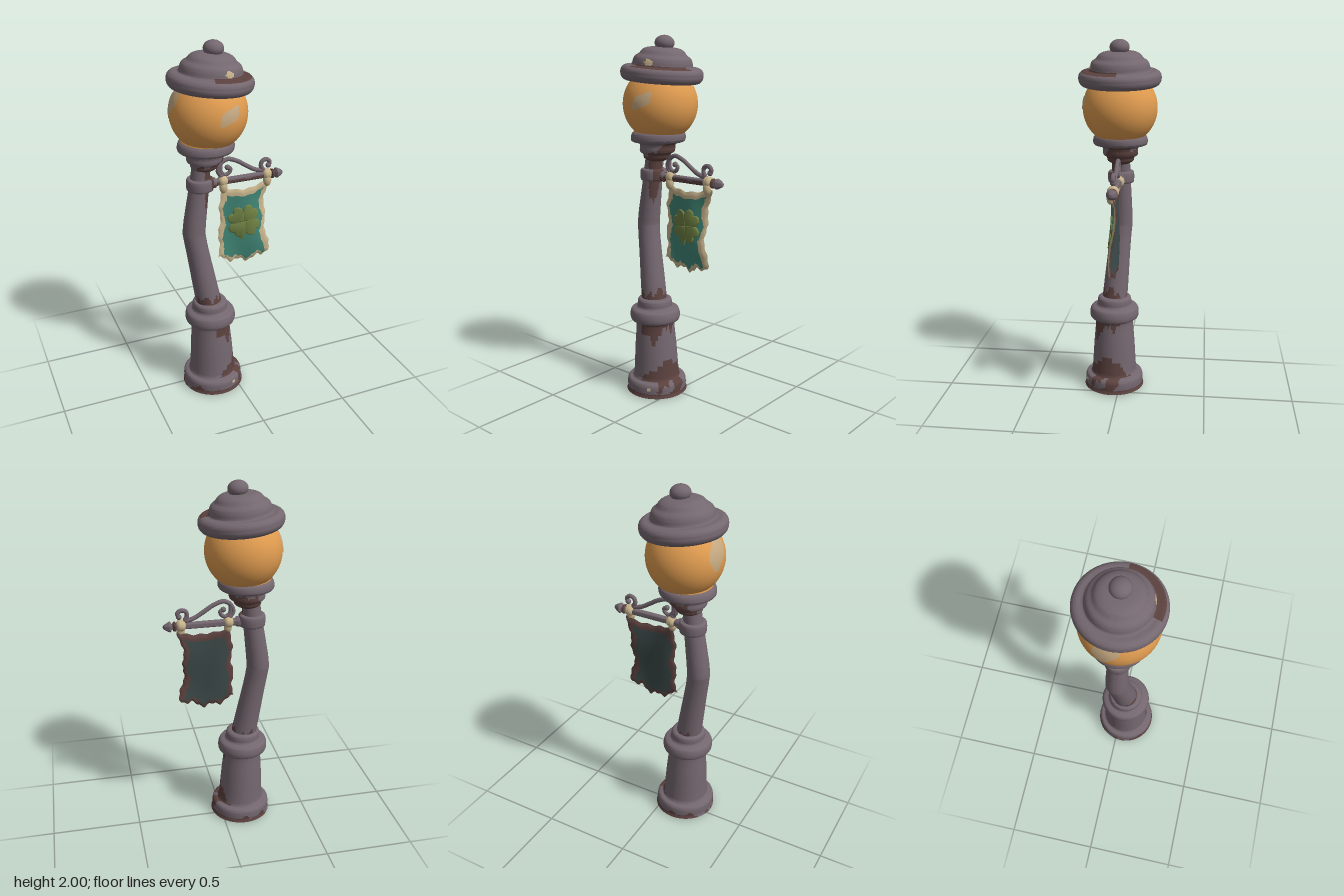
import * as THREE from 'three';
import { toCreasedNormals } from 'three/addons/utils/BufferGeometryUtils.js';

const mat = (name, color, side = THREE.FrontSide) => {
  const m = new THREE.MeshStandardMaterial({ color, side });
  m.name = name;
  return m;
};
const { sin, cos, PI, abs, max, min, hypot } = Math;

export function createModel() {
  const metal = mat('mauve iron', 0x74676f);
  const rust = mat('rust', 0x5c423f);
  const cream = mat('cream', 0xc8b48c);
  const amber = mat('amber glass', 0xe09c50);
  const glint = mat('glass glint', 0xc6a981);
  const teal = mat('teal cloth', 0x3f8474);
  const dark = mat('dark cloth', 0x3c4a49);
  const green = mat('clover green', 0x6d7f42);
  const iron = [metal, rust, cream];

  const model = new THREE.Group();
  const add = (name, geo, material, parent = model) => {
    const m = new THREE.Mesh(geo, material);
    m.name = name;
    parent.add(m);
    return m;
  };
  // Puts each list of corners into its own material group
  const setGroups = (geo, lists) => {
    geo.setIndex(lists.flat());
    geo.clearGroups();
    let start = 0;
    lists.forEach((l, i) => { if (l.length) geo.addGroup(start, l.length, i); start += l.length; });
    return geo;
  };
  // Angle between a and b, unsigned
  const turn = (a, b) => abs(Math.atan2(sin(a - b), cos(a - b)));
  const wob = (a, y) => 0.016 * sin(3 * a + 1) + 0.012 * sin(8 * a + 30 * y) + 0.006 * sin(19 * a);

  // Turned part: [radius, height] profile around a drifting centre line;
  // paint(angle, height) picks the material of each small face
  const loft = (profile, centre = () => [0, 0], paint = () => 0, sides = 72, steps = 5) => {
    const rows = new THREE.SplineCurve(profile.map(p => new THREE.Vector2(...p)))
      .getPoints(steps * (profile.length - 1));
    const pos = [], lists = [[], [], []];
    rows.forEach(({ x: r, y }, i) => {
      const [cx, cz] = centre(y);
      for (let j = 0; j < sides; j++) {
        const a = j / sides * 2 * PI;
        pos.push(cx + max(r, 1e-4) * cos(a), y, cz + max(r, 1e-4) * sin(a));
        if (i === rows.length - 1) continue;
        const k = (j + 1) % sides, A = i * sides + j, B = i * sides + k, C = A + sides, D = B + sides;
        lists[paint(a + PI / sides, (y + rows[i + 1].y) / 2)].push(A, C, B, B, C, D);
      }
    });
    const geo = new THREE.BufferGeometry();
    geo.setAttribute('position', new THREE.Float32BufferAttribute(pos, 3));
    return toCreasedNormals(setGroups(geo, lists), 0.9);
  };

  // Foot, plinth and ring
  add('plinth', loft(
    [[0, 0], [0.158, 0.002], [0.167, 0.02], [0.167, 0.065], [0.157, 0.083], [0.134, 0.09], [0.127, 0.13],
      [0.118, 0.27], [0.108, 0.4], [0.117, 0.417], [0.137, 0.43], [0.141, 0.46], [0.131, 0.49],
      [0.1, 0.502], [0.097, 0.53], [0.088, 0.549], [0.05, 0.553]],
    y => [-0.118 - 0.025 * y, 0.034],
    (a, y) => {
      const d = turn(a, 0.35), w = wob(a, y);
      if (hypot(turn(a, 1.12) * 0.16, y - 0.055) < 0.018 + w * 0.3) return 2;
      if (y < 0.022 + w) return 1;
      if (y > 0.025 && y < 0.09) return d < 0.9 && w > 0.008 ? 1 : 0;
      if (y < 0.19 - 0.06 * d * d + w) return 1;
      return y < 0.425 && y > 0.34 + 0.07 * turn(a, 0.6) ** 2 + 2 * w ? 1 : 0;
    }, 96), iron);

  // Crooked pole
  const bend = [[0.53, -0.135, 0.033], [0.9, -0.196, 0.006], [0.97, -0.205, 0], [1.04, -0.198, 0],
    [1.2, -0.176, 0], [1.4, -0.15, 0]];
  const poleCentre = y => {
    const i = max(1, bend.findIndex(b => b[0] >= y)), p = bend[i - 1], q = bend[i];
    const t = (y - p[0]) / (q[0] - p[0]);
    return [p[1] + (q[1] - p[1]) * t, p[2] + (q[2] - p[2]) * t];
  };
  add('pole', loft(
    [[0.072, 0.54], [0.069, 0.65], [0.064, 0.8], [0.062, 0.9], [0.062, 0.97], [0.061, 1.04],
      [0.057, 1.15], [0.053, 1.25], [0.05, 1.36]],
    poleCentre,
    (a, y) => {
      const w = wob(a, y);
      if (y < 0.6 + 1.3 * w - 0.02 * turn(a, 1)) return 1;
      return y > 1.1 + 0.3 * turn(a, 0.6) ** 2 + w ? 1 : 0;
    }, 64, 8), iron);
  add('poleBand', loft(
    [[0.045, 1.218], [0.068, 1.22], [0.073, 1.235], [0.073, 1.268], [0.067, 1.283], [0.045, 1.285]],
    () => [-0.165, 0], a => (turn(a, 0.4) < 0.5 ? 1 : 0)), iron);

  // Cup and ring that hold the globe
  add('globeHolder', loft(
    [[0.045, 1.33], [0.07, 1.345], [0.077, 1.368], [0.096, 1.383], [0.098, 1.42], [0.115, 1.43],
      [0.145, 1.44], [0.15, 1.463], [0.142, 1.486], [0.118, 1.493], [0.05, 1.49]],
    y => [-0.14 + 0.1 * (y - 1.35), 0],
    (a, y) => (y < 1.437 && y < 1.39 + 0.05 * cos(a + 0.3) + wob(a, y) ? 1 : 0)), iron);
  const seat = add('globeSeat', new THREE.TorusGeometry(0.122, 0.014, 10, 48), amber);
  seat.rotation.x = PI / 2;
  seat.position.set(-0.125, 1.49, 0);

  // Glowing globe with two painted glints
  const globe = new THREE.Group();
  globe.name = 'globe';
  globe.position.set(-0.113, 1.64, 0);
  model.add(globe);
  add('glass', new THREE.SphereGeometry(0.203, 48, 32), amber, globe);
  const addGlint = (name, direction, w, h, roll) => {
    const g = new THREE.RingGeometry(0.001, 1, 28, 5);
    const p = g.attributes.position, v = new THREE.Vector3();
    const q = new THREE.Quaternion().setFromUnitVectors(new THREE.Vector3(0, 0, 1), direction.normalize());
    for (let i = 0; i < p.count; i++) {
      const k = 1 + 0.12 * sin(4 * Math.atan2(p.getY(i), p.getX(i)));
      v.set(p.getX(i) * w * k, p.getY(i) * h * k, 0).applyAxisAngle(new THREE.Vector3(0, 0, 1), roll);
      v.z = 0.203;
      v.setLength(0.2055).applyQuaternion(q);
      p.setXYZ(i, v.x, v.y, v.z);
    }
    g.computeVertexNormals();
    add(name, g, glint, globe);
  };
  addGlint('frontGlint', new THREE.Vector3(0.2, 0.13, 0.95), 0.07, 0.034, 0.55);
  addGlint('sideGlint', new THREE.Vector3(-0.9, 0.32, -0.12), 0.1, 0.055, 0.7);

  // Tilted hat
  const hat = new THREE.Group();
  hat.name = 'hat';
  hat.position.set(-0.1, 1.803, 0);
  hat.rotation.z = -0.085;
  model.add(hat);
  add('hatShell', loft(
    [[0.02, 0.005], [0.15, -0.02], [0.195, -0.042], [0.216, -0.028], [0.223, -0.003], [0.217, 0.022],
      [0.197, 0.036], [0.166, 0.038], [0.16, 0.06], [0.15, 0.083], [0.127, 0.1], [0.112, 0.119],
      [0.085, 0.132], [0.04, 0.137], [0, 0.138]],
    undefined,
    (a, y) => {
      const w = wob(a, y), d = turn(a, 1.28);
      if (y > -0.02 && (hypot(d * 0.2, y - 0.018) < 0.034 && abs(y - 0.018) < 0.012 + w
        || hypot(d * 0.16, (y - 0.06) * 1.5) < 0.032 + w * 0.4)) return 2;
      return y > 0.031 && y < 0.046 && turn(a, 1) < 0.8 + 8 * w ? 1 : 0;
    }, 96), iron, hat);
  const knob = add('hatKnob', new THREE.SphereGeometry(0.053, 28, 20), metal, hat);
  knob.position.set(0.005, 0.158, 0);
  knob.scale.y = 0.78;

  // Banner arm: rod, spear tip and scroll
  const arm = new THREE.Group();
  arm.name = 'bannerArm';
  model.add(arm);
  const rod = add('rod', loft(
    [[0.03, 0], [0.028, 0.03], [0.02, 0.045], [0.019, 0.2], [0.019, 0.37]],
    undefined, (a, y) => (cos(a - 0.6) > 0.35 + 8 * wob(a, y) ? 1 : 0), 24), iron, arm);
  const tip = add('spearTip', loft(
    [[0.012, 0], [0.026, 0.004], [0.024, 0.016], [0.013, 0.022], [0.028, 0.032], [0.026, 0.042],
      [0.012, 0.066], [0, 0.073]],
    undefined, (a, y) => (y < 0.02 ? 1 : 0), 20), iron, arm);
  rod.position.set(-0.11, 1.245, 0);
  tip.position.set(0.247, 1.245, 0);
  rod.rotation.z = tip.rotation.z = -PI / 2;
  const scroll = [[0.002, 1.297], [0.012, 1.318], [-0.002, 1.332], [-0.022, 1.318], [-0.02, 1.29], [-0.045, 1.278],
    [-0.062, 1.305], [-0.048, 1.345], [-0.01, 1.367], [0.045, 1.35], [0.1, 1.315], [0.155, 1.283],
    [0.2, 1.275], [0.188, 1.3], [0.195, 1.325], [0.22, 1.333], [0.24, 1.315], [0.232, 1.297]];
  const wire = new THREE.CatmullRomCurve3(scroll.slice(5).map(([x, y]) => new THREE.Vector3(x, y, 0)));
  add('scroll', new THREE.TubeGeometry(wire, 90, 0.012, 10), metal, arm);
  const curl = new THREE.CatmullRomCurve3(
    [[-0.048, 1.345], [-0.045, 1.3], [-0.02, 1.28], [0.004, 1.292], [0.008, 1.312], [-0.008, 1.32]]
      .map(([x, y]) => new THREE.Vector3(x, y, 0)));
  add('innerCurl', new THREE.TubeGeometry(curl, 40, 0.011, 10), metal, arm);
  [scroll[17], [-0.008, 1.32], [-0.045, 1.278]].forEach(([x, y]) =>
    add('scrollEnd', new THREE.SphereGeometry(0.015, 14, 10), metal, arm).position.set(x, y, 0));

  // Cloth straps over the rod
  for (const x of [-0.036, 0.222]) {
    const strap = new THREE.Group();
    strap.name = 'strap';
    strap.position.set(x, 1.248, 0);
    arm.add(strap);
    const loop = add('strapLoop', new THREE.CapsuleGeometry(0.029, 0.012, 6, 18), cream, strap);
    loop.rotation.z = PI / 2;
    loop.scale.set(1.1, 0.8, 1.1);
    const flap = add('strapFlap', new THREE.SphereGeometry(0.024, 16, 12), cream, strap);
    flap.position.set(0, -0.032, 0.012);
    flap.scale.set(0.95, 1.5, 0.9);
  }

  // Ragged banner: front and back sheets meeting at the rim
  const clothZ = (x, y) => 0.008 + 0.014 * sin((y - 0.75) * 13) * (x - 0.02) / 0.2 + 0.008 * sin(x * 24 + y * 5);
  const NX = 40, NY = 56;
  const sheet = side => {
    const g = new THREE.PlaneGeometry(1, 1, NX, NY);
    const p = g.attributes.position, lists = [[], []];
    for (let i = 0; i < p.count; i++) {
      const u = p.getX(i) + 0.5, v = 0.5 - p.getY(i);
      const left = -0.052 - 0.012 * v + 0.006 * sin(17 * v) + 0.003 * sin(41 * v);
      const right = 0.24 - 0.028 * sin(PI * v) + 0.007 * sin(15 * v + 1) + 0.003 * sin(47 * v);
      const top = 1.212 - 0.028 * sin(PI * u) + 0.004 * sin(25 * u);
      const bottom = 0.79 - 0.042 * sin(PI * u) + 0.011 * sin(19 * u) + 0.006 * sin(43 * u);
      const x = left + (right - left) * u, y = top + (bottom - top) * v;
      const rim = min(u, 1 - u, v, 1 - v) * 25;
      p.setXYZ(i, x, y, clothZ(x, y) + side * 0.007 * min(1, rim));
    }
    const idx = g.index.array;
    for (let q = 0; q < NX * NY; q++) {
      const u = (q % NX + 0.5) / NX, v = (Math.floor(q / NX) + 0.5) / NY;
      const inside = u > 0.1 + 0.02 * sin(14 * v) && u < 0.89 + 0.025 * sin(12 * v + 2)
        && v > 0.07 + 0.025 * sin(PI * u) && v < 0.945 + 0.015 * sin(16 * u);
      const [a, b, c, d, e, f] = idx.slice(q * 6, q * 6 + 6);
      lists[inside ? 0 : 1].push(...(side > 0 ? [a, b, c, d, e, f] : [a, c, b, d, f, e]));
    }
    setGroups(g, lists).computeVertexNormals();
    return g;
  };
  add('bannerFront', sheet(1), [teal, cream]);
  add('bannerBack', sheet(-1), [dark, rust]);

  // Four-leaf clover, following the waves of the cloth
  const leaf = new THREE.Shape();
  leaf.moveTo(0, 0);
  leaf.bezierCurveTo(0.02, 0.02, 0.056, 0.04, 0.05, 0.07);
  leaf.bezierCurveTo(0.045, 0.102, 0.008, 0.1, 0, 0.08);
  leaf.bezierCurveTo(-0.008, 0.1, -0.045, 0.102, -0.05, 0.07);
  leaf.bezierCurveTo(-0.056, 0.04, -0.02, 0.02, 0, 0);
  const stem = new THREE.Shape([[-0.006, 0], [-0.012, -0.06], [-0.035, -0.1], [-0.02, -0.108], [0.002, -0.06], [0.006, 0]]
    .map(p => new THREE.Vector2(...p)));
  const emblem = (name, shape, angle) => {
    const g = new THREE.ExtrudeGeometry(shape, {
      depth: 0.008, bevelThickness: 0.005, bevelSize: 0.004, bevelOffset: -0.004, bevelSegments: 2, curveSegments: 10 });
    g.rotateZ(angle).translate(0.083, 0.995, 0.003);
    const p = g.attributes.position;
    for (let i = 0; i < p.count; i++) p.setZ(i, p.getZ(i) + clothZ(p.getX(i), p.getY(i)));
    add(name, toCreasedNormals(g, 0.9), green);
  };
  for (let k = 0; k < 4; k++) emblem('cloverLeaf', leaf, PI / 4 + 0.1 + k * PI / 2);
  emblem('cloverStem', stem, 0.1);

  return model;
}
